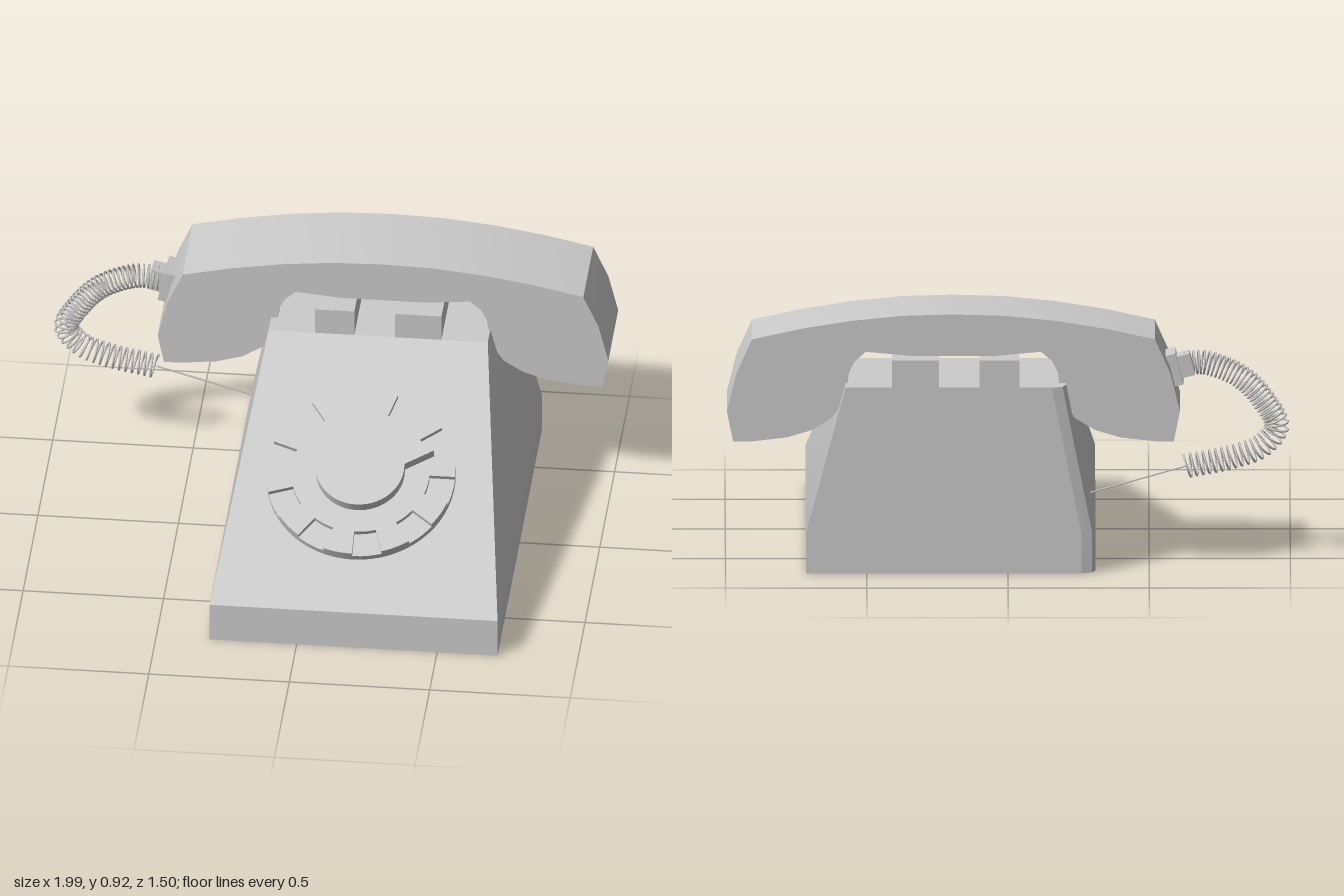
import * as THREE from 'three';
import { toCreasedNormals } from 'three/addons/utils/BufferGeometryUtils.js';

const material = new THREE.MeshStandardMaterial({ color: 0xcccccc, side: THREE.DoubleSide });

function addMesh(parent, name, geometry, x = 0, y = 0, z = 0) {
  const mesh = new THREE.Mesh(geometry, material);
  mesh.name = name;
  mesh.position.set(x, y, z);
  parent.add(mesh);
  return mesh;
}

const toShape = (points) => new THREE.Shape(points.map(([x, y]) => new THREE.Vector2(x, y)));

function extrude(shape, depth, crease = 0.6, curveSegments = 32) {
  return toCreasedNormals(
    new THREE.ExtrudeGeometry(shape, { depth, bevelEnabled: false, curveSegments }), crease);
}

// Body: three stacked outlines, with a sloping front and one rounded rear corner
function bodyGeometry() {
  const outline = (y, x0, x1, front) => [
    [x0, y, front], [x1, y, front], [x1, y, -0.75],
    [x0 + 0.05, y, -0.75], [x0 + 0.012, y, -0.738], [x0, y, -0.7],
  ];
  const rings = [
    outline(0, -0.31, 0.715, 0.75),
    outline(0.145, -0.31, 0.715, 0.75),
    outline(0.672, -0.205, 0.575, -0.25),
  ];
  const n = rings[0].length;
  const index = [];
  for (let r = 0; r < rings.length - 1; r++) {
    for (let i = 0; i < n; i++) {
      const a = r * n + i, b = r * n + (i + 1) % n;
      index.push(a, b, b + n, a, b + n, a + n);
    }
  }
  const top = (rings.length - 1) * n;
  for (let i = 1; i < n - 1; i++) {
    index.push(0, i + 1, i, top, top + i, top + i + 1);
  }
  const geometry = new THREE.BufferGeometry();
  geometry.setAttribute('position', new THREE.Float32BufferAttribute(rings.flat(2), 3));
  geometry.setIndex(index);
  return toCreasedNormals(geometry, 0.3);
}

// Handset: half profile mirrored about its centre
function handsetGeometry() {
  const half = [
    [0, 0.92], [0.18, 0.915], [0.36, 0.897], [0.54, 0.868], [0.713, 0.83],
    [0.767, 0.71], [0.802, 0.57], [0.78, 0.46], [0.72, 0.46], [0.59, 0.475],
    [0.5, 0.502], [0.43, 0.545], [0.38, 0.62], [0.37, 0.71], [0.35, 0.75],
    [0.31, 0.785], [0.15, 0.77],
  ];
  const mirrored = half.slice(1).reverse().map(([x, y]) => [-x, y]);
  return extrude(toShape([...half, ...mirrored]), 0.335, 0.35);
}

// Dial: backing disc, notched finger wheel and a hub with a pointed stop
function makeDial() {
  const dial = new THREE.Group();
  dial.name = 'dial';
  const disc = new THREE.Shape().absarc(0, 0, 0.335, 0, Math.PI * 2);
  addMesh(dial, 'dialPlate', extrude(disc, 0.024), 0, 0, 0.018);

  const wheel = new THREE.Shape();
  const notches = 10, step = Math.PI * 2 / notches;
  for (let i = 0; i < notches; i++) {
    const a = i * step;
    wheel.absarc(0, 0, 0.335, a, a + step * 0.5);
    wheel.absarc(0, 0, 0.245, a + step * 0.5, a + step);
  }
  wheel.closePath();
  addMesh(dial, 'fingerWheel', extrude(wheel, 0.02, 0.6, 6), 0, 0, 0.04);

  const hub = new THREE.Shape();
  hub.absarc(0, 0, 0.157, 0.55, Math.PI * 2 + 0.12);
  hub.lineTo(0.255, 0.08);
  hub.lineTo(0.17, 0.075);
  hub.closePath();
  addMesh(dial, 'dialHub', extrude(hub, 0.05), 0, 0, 0.05);
  return dial;
}

// Coiled cord: a helix wound around a guide curve lying in one vertical plane
class CoilCurve extends THREE.Curve {
  constructor(guide, turns, radius) {
    super();
    Object.assign(this, { guide, turns, radius });
  }
  getPoint(t, target = new THREE.Vector3()) {
    // winding is tighter over the first part
    const u = t < 0.66 ? t / 0.66 * 0.58 : 0.58 + (t - 0.66) / 0.34 * 0.42;
    const tangent = this.guide.getTangentAt(u);
    const angle = t * this.turns * Math.PI * 2;
    const side = Math.cos(angle) * this.radius;
    return target.copy(this.guide.getPointAt(u)).add(
      new THREE.Vector3(-tangent.y * side, tangent.x * side, Math.sin(angle) * this.radius));
  }
}

function makeCord() {
  const cord = new THREE.Group();
  cord.name = 'cord';
  const z = -0.5;
  const guide = new THREE.CatmullRomCurve3([
    [-0.62, 0.705], [-0.7, 0.71], [-0.83, 0.655], [-0.915, 0.56],
    [-0.952, 0.48], [-0.9, 0.41], [-0.8, 0.37], [-0.63, 0.335],
  ].map(([x, y]) => new THREE.Vector3(x, y, z)));
  const coil = new CoilCurve(guide, 44, 0.041);
  coil.arcLengthDivisions = 1500;
  addMesh(cord, 'coil', new THREE.TubeGeometry(coil, 620, 0.004, 5));

  const lead = new THREE.LineCurve3(
    new THREE.Vector3(-0.63, 0.335, z), new THREE.Vector3(-0.28, 0.235, z));
  addMesh(cord, 'lead', new THREE.TubeGeometry(lead, 1, 0.003, 5));

  // Stepped plug on the end of the handset
  const plug = new THREE.Group();
  plug.name = 'plug';
  plug.position.set(-0.585, 0.695, -0.51);
  plug.rotation.z = -0.25;
  addMesh(plug, 'plugBase', new THREE.BoxGeometry(0.045, 0.115, 0.12));
  addMesh(plug, 'plugNeck', new THREE.BoxGeometry(0.06, 0.08, 0.07), -0.04, 0, 0);
  cord.add(plug);
  return cord;
}

export function createModel() {
  const model = new THREE.Group();
  model.name = 'telephone';
  addMesh(model, 'body', bodyGeometry());

  // Cradle bars under the handset
  for (const [x0, x1] of [[-0.04, 0.1], [0.245, 0.41]]) {
    addMesh(model, 'cradleBar', new THREE.BoxGeometry(x1 - x0, 0.11, 0.5),
      (x0 + x1) / 2, 0.715, -0.5);
  }
  addMesh(model, 'handset', handsetGeometry(), 0.193, 0, -0.67);

  const dial = makeDial();
  dial.position.set(0.18, 0.397, 0.27);
  dial.rotation.x = Math.atan2(0.527, 1) - Math.PI / 2;
  model.add(dial);

  model.add(makeCord());
  return model;
}
